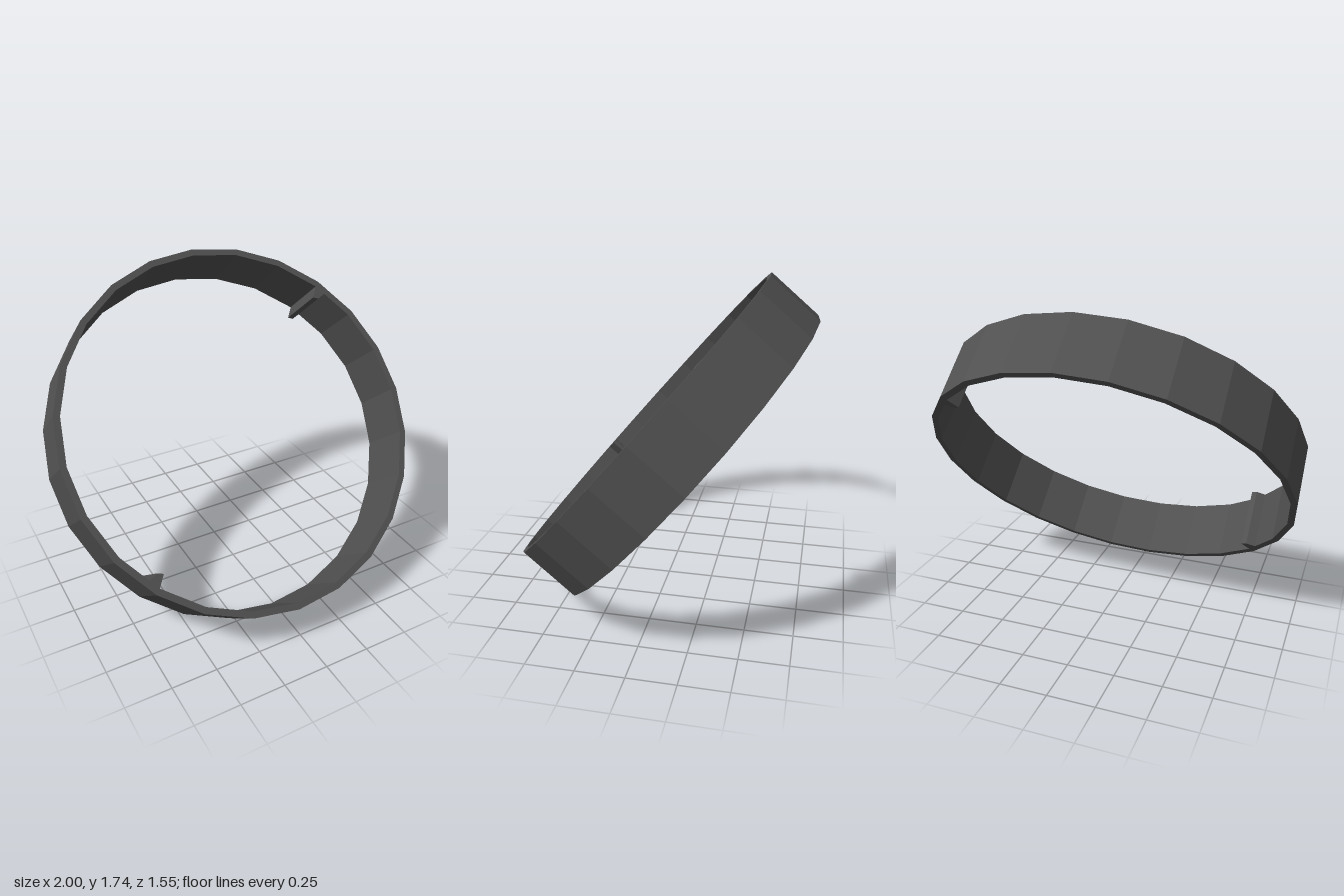
import * as THREE from 'three';

const WIDTH = 0.335;   // band width along the ring's axis
const SIDES = 24;

// Points of a regular polygon around the ring's axis
function ringPoints(radius) {
  const points = [];
  for (let i = 0; i < SIDES; i++) {
    const a = (i / SIDES) * Math.PI * 2 - 0.03;
    points.push(new THREE.Vector2(radius * Math.cos(a), radius * Math.sin(a)));
  }
  return points;
}

// Extrude a shape across the full band width, centred on the ring's plane
function extrudeAcross(shape) {
  const geometry = new THREE.ExtrudeGeometry(shape, { depth: WIDTH, bevelEnabled: false });
  return geometry.translate(0, 0, -WIDTH / 2);
}

export function createModel() {
  const material = new THREE.MeshStandardMaterial({ color: 0x505050, flatShading: true });
  const model = new THREE.Group();
  model.name = 'ring';

  // Thin faceted band
  const bandShape = new THREE.Shape(ringPoints(1));
  bandShape.holes.push(new THREE.Path(ringPoints(0.965)));
  const band = new THREE.Mesh(extrudeAcross(bandShape), material);
  band.name = 'band';

  // Whole ring leans back on its lower edge
  const tilted = new THREE.Group();
  tilted.name = 'tiltedRing';
  tilted.rotation.x = -0.704;
  tilted.position.y = 0.87;
  tilted.add(band);

  // Two opposite ribs on the inner wall, running across the band
  const ribShape = new THREE.Shape([
    new THREE.Vector2(0.663, 0.6),
    new THREE.Vector2(0.692, 0.587),
    new THREE.Vector2(0.757, 0.614),
    new THREE.Vector2(0.71, 0.67),
  ]);
  const ribGeometry = extrudeAcross(ribShape);
  for (const [name, turn] of [['upperLeftRib', 0], ['lowerRightRib', Math.PI]]) {
    const rib = new THREE.Mesh(ribGeometry, material);
    rib.name = name;
    rib.rotation.z = turn;
    tilted.add(rib);
  }

  model.add(tilted);
  return model;
}
